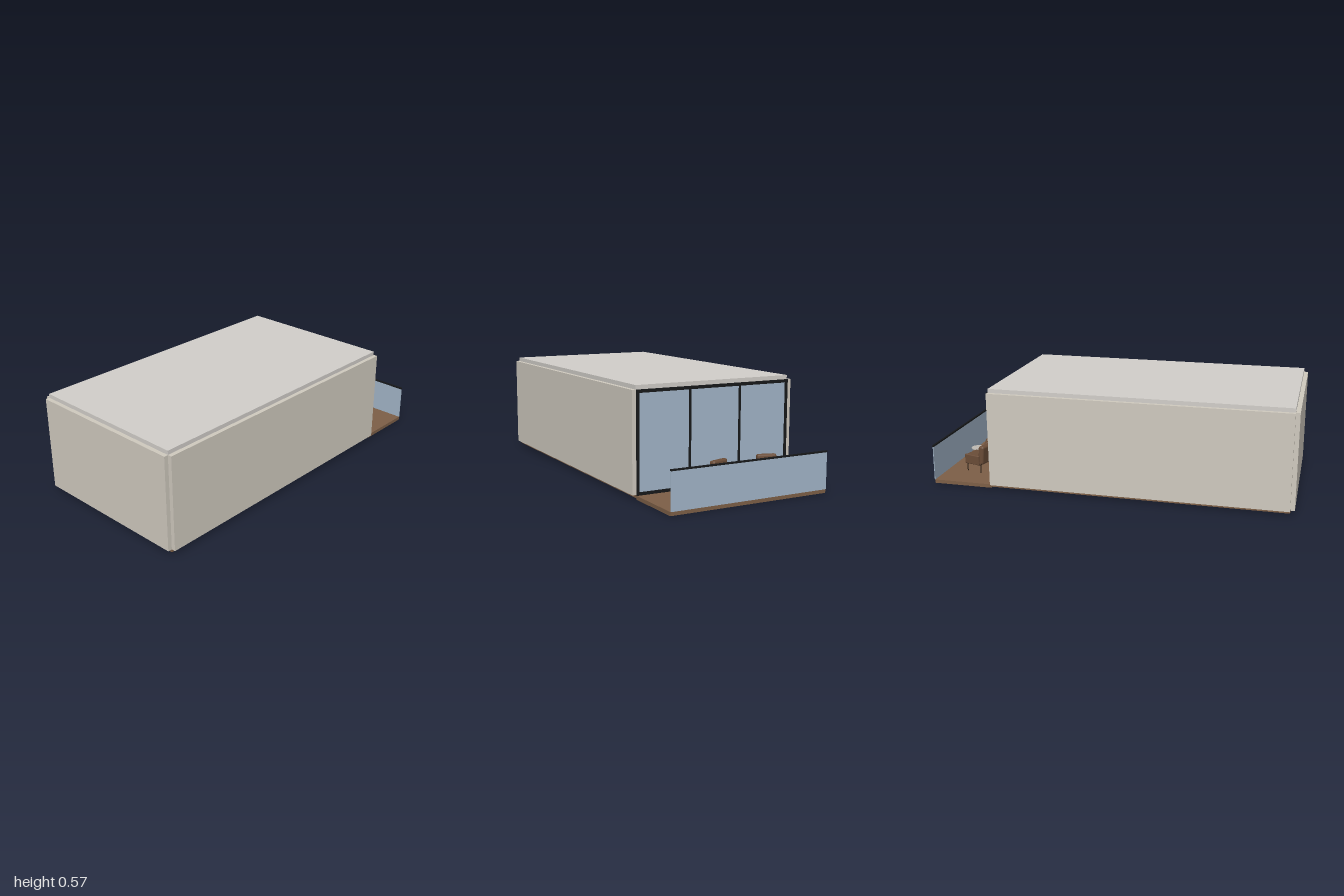
import * as THREE from 'three';
import { RoundedBoxGeometry } from 'three/addons/geometries/RoundedBoxGeometry.js';

const mat = (color) => new THREE.MeshStandardMaterial({ color });
const WALL = mat(0xd0cabf), ROOF = mat(0xd2cfca), WOOD = mat(0x7d5f47), GLASS = mat(0xa3b6c9);
const BLACK = mat(0x17181a), LEATHER = mat(0x6b4d38), LEG = mat(0x2e2218), STONE = mat(0xbdb9b3), BRASS = mat(0x7a6238);

function add(parent, name, geometry, material, x = 0, y = 0, z = 0) {
  const mesh = new THREE.Mesh(geometry, material);
  mesh.name = name;
  mesh.position.set(x, y, z);
  parent.add(mesh);
  return mesh;
}

// Box given by its lower and upper corners
function block(parent, name, material, [x0, y0, z0], [x1, y1, z1]) {
  return add(parent, name, new THREE.BoxGeometry(x1 - x0, y1 - y0, z1 - z0), material,
    (x0 + x1) / 2, (y0 + y1) / 2, (z0 + z1) / 2);
}

function group(parent, name) {
  const g = new THREE.Group();
  g.name = name;
  parent.add(g);
  return g;
}

// Padded lounge chair standing on y = 0 and facing +z
function armchair(parent, name) {
  const chair = group(parent, name);
  const pad = (part, w, h, d, r, x, y, z) =>
    add(chair, part, new RoundedBoxGeometry(w, h, d, 3, r), LEATHER, x, y, z);
  pad('seatBase', 0.108, 0.022, 0.112, 0.005, 0, 0.058, 0.008);
  pad('seatCushion', 0.104, 0.03, 0.108, 0.01, 0, 0.082, 0.015);
  pad('backCushion', 0.106, 0.11, 0.036, 0.012, 0, 0.106, -0.048).rotation.x = -0.1;
  for (const s of [-1, 1]) {
    pad('armrest', 0.013, 0.056, 0.1, 0.005, s * 0.06, 0.077, 0.006);
    for (const z of [-0.046, 0.05]) {
      add(chair, 'chairLeg', new THREE.CylinderGeometry(0.0035, 0.0028, 0.052, 10), LEG, s * 0.05, 0.026, z);
    }
  }
  return chair;
}

export function createModel() {
  const model = new THREE.Group();
  model.name = 'roomWithBalcony';
  const W = 0.452, T = 0.022;      // half width inside, wall thickness
  const BACK = -0.655, FRONT = 0.977, TOP = 0.545;

  // Room shell: floor, walls and roof slab
  const room = group(model, 'room');
  block(room, 'floor', WOOD, [-W, 0.007, BACK], [W, 0.024, FRONT]);
  block(room, 'frontWall', WALL, [-W, 0.024, FRONT], [W, TOP, 1]);
  for (const s of [-1, 1]) {
    const x = s * (W + T / 2);
    block(room, s > 0 ? 'leftWall' : 'rightWall', WALL,
      [x - T / 2, 0.024, BACK], [x + T / 2, TOP, FRONT]);
  }
  block(room, 'roof', ROOF, [-W, TOP, BACK + 0.004], [W, TOP + T, FRONT]);

  // Glazed back wall: black frame with three panes
  const windowWall = group(model, 'windowWall');
  const F = 0.016, z0 = BACK - 0.006, z1 = BACK + 0.01;
  block(windowWall, 'frameTop', BLACK, [-W, TOP - F, z0], [W, TOP, z1]);
  block(windowWall, 'frameBottom', BLACK, [-W, 0.02, z0], [W, 0.02 + F, z1]);
  for (let i = 0; i <= 3; i++) {
    const w = i % 3 ? 0.012 : F;
    const x = -W + w / 2 + (2 * W - w) * i / 3;
    block(windowWall, 'framePost', BLACK, [x - w / 2, 0.02 + F, z0 + 0.001], [x + w / 2, TOP - F, z1]);
  }
  block(windowWall, 'panes', GLASS, [-W + 0.005, 0.03, BACK - 0.001], [W - 0.005, TOP - 0.005, BACK + 0.003]);

  // Balcony deck with glass balustrade
  const balcony = group(model, 'balcony');
  block(balcony, 'deck', WOOD, [-W, 0, -0.992], [W, 0.02, BACK]);
  block(balcony, 'glassRailing', GLASS, [-W, 0.02, -0.996], [W, 0.212, -0.992]);
  block(balcony, 'handrail', BLACK, [-W, 0.212, -1], [W, 0.22, -0.989]);

  // Two armchairs turned towards a small round table
  const tableX = -0.102;
  for (const s of [-1, 1]) {
    const chair = armchair(balcony, s > 0 ? 'leftArmchair' : 'rightArmchair');
    chair.position.set(tableX + s * 0.131, 0.02, -0.812);
    chair.rotation.y = Math.PI + s * 0.29;
  }
  const table = group(balcony, 'sideTable');
  table.position.set(tableX, 0.02, -0.872);
  add(table, 'tableTop', new THREE.CylinderGeometry(0.044, 0.044, 0.005, 40), STONE, 0, 0.085, 0);
  add(table, 'tableStem', new THREE.CylinderGeometry(0.006, 0.006, 0.08, 16), BRASS, 0, 0.043, 0);
  add(table, 'tableFoot', new THREE.CylinderGeometry(0.024, 0.026, 0.005, 32), BRASS, 0, 0.0025, 0);

  return model;
}
